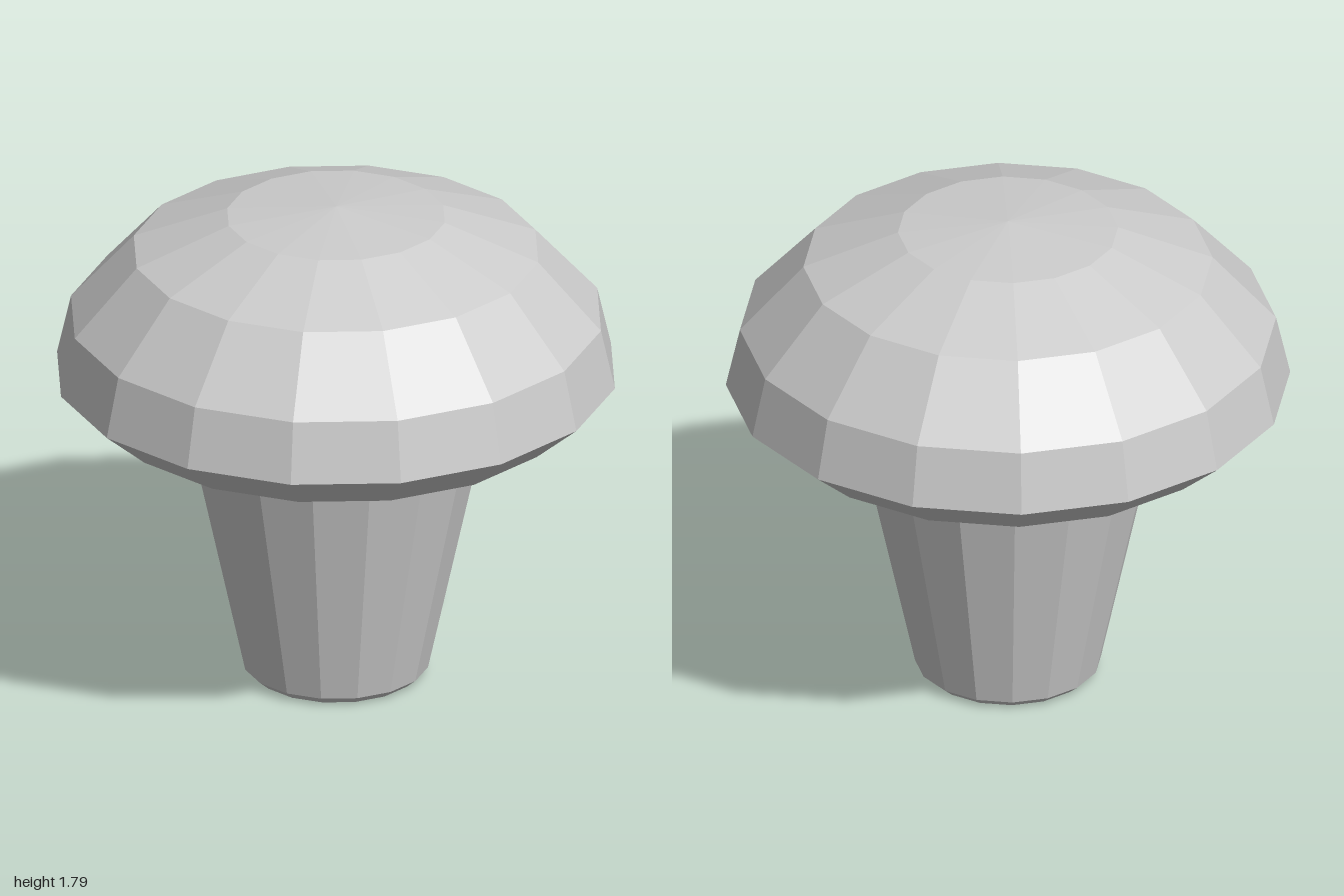
import * as THREE from 'three';

const SIDES = 16;

// Faceted solid of revolution; profile is [radius, height] from bottom to top
function turned(name, profile, material) {
  const points = profile.map(([r, y]) => new THREE.Vector2(r, y));
  const mesh = new THREE.Mesh(new THREE.LatheGeometry(points, SIDES), material);
  mesh.name = name;
  return mesh;
}

export function createModel() {
  const group = new THREE.Group();
  group.name = 'mushroom';
  const material = new THREE.MeshStandardMaterial({ color: 0xcccccc, flatShading: true });

  // Tapered stem with a small chamfer at the foot, running into the cap
  group.add(turned('stem', [
    [0, 0], [0.295, 0], [0.33, 0.03], [0.558, 1.08],
  ], material));

  // Cap: shallow recess underneath, flared rim and stepped dome
  group.add(turned('cap', [
    [0.55, 1.08], [0.71, 1.08], [0.835, 1.02], [1, 1.16],
    [0.95, 1.38], [0.725, 1.63], [0.39, 1.76], [0, 1.795],
  ], material));

  return group;
}
